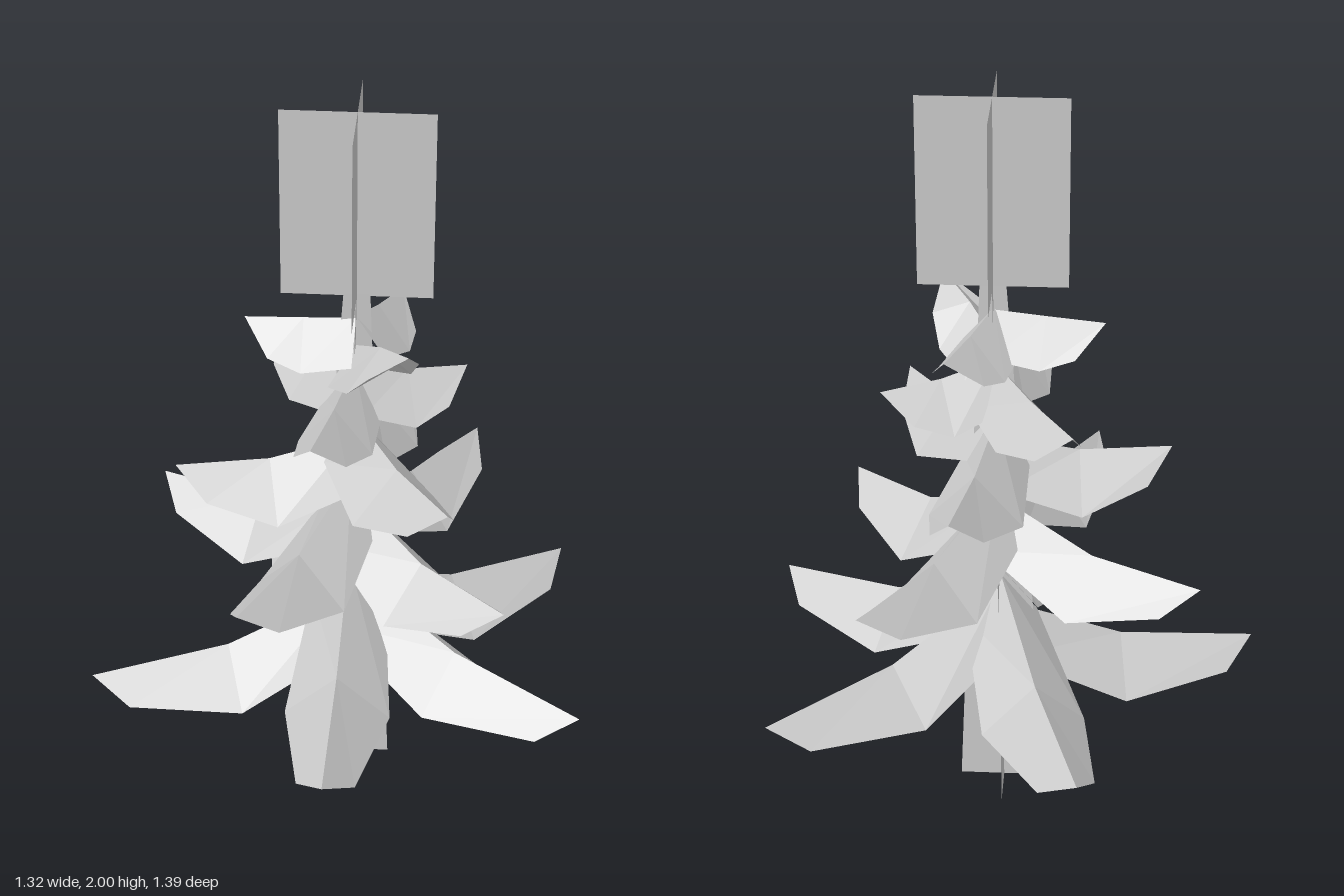
import * as THREE from 'three';

const material = new THREE.MeshStandardMaterial({
  color: 0xcccccc, flatShading: true, side: THREE.DoubleSide,
});

// Height levels from bottom to top. rise: ridge height over the tip at [trunk, middle];
// width: half widths at [trunk, middle, end]; drop: how far the edges hang below the ridge.
const levels = [
  { rise: [0.2, 0.055], width: [0.1, 0.14, 0.076], drop: [0.12, 0.135, 0.065], back: 0.09,
    tips: [[-0.66, 0.37, 0.15], [0.66, 0.44, 0.33], [0.01, 0.47, 0.69], [-0.2, 0.45, -0.7], [0.615, 0.43, -0.46]] },
  { rise: [0.12, 0.015], width: [0.09, 0.13, 0.075], drop: [0.12, 0.14, 0.07], back: 0.08,
    tips: [[-0.5, 0.77, -0.27], [0.36, 0.8, -0.51], [0.45, 0.77, 0.33], [-0.22, 0.83, 0.47]] },
  { rise: [0.06, 0.005], width: [0.09, 0.125, 0.07], drop: [0.12, 0.135, 0.08], back: 0.075,
    tips: [[-0.42, 1.01, 0.06], [0.3, 1.08, 0.35], [0.13, 1.06, -0.475]] },
  { rise: [0.05, 0.015], width: [0.08, 0.1, 0.07], drop: [0.11, 0.12, 0.075], back: 0.07,
    tips: [[0.33, 1.24, -0.12], [-0.045, 1.235, 0.315], [-0.17, 1.23, -0.325]] },
  { rise: [0.02, 0.01], width: [0.085, 0.095, 0.075], drop: [0.1, 0.11, 0.075], back: 0.07,
    tips: [[-0.24, 1.41, -0.035], [0.19, 1.44, 0.195, -0.09], [0.155, 1.39, -0.25, 0.045]] },
];

// The trunk leans slightly from its foot to its top
const trunkCentre = (y) => {
  const t = Math.min(y / 1.5, 1);
  return new THREE.Vector3(0.02 + 0.028 * t, y, -0.035 + 0.023 * t);
};

// Folded sheet: left edge, ridge and right edge at three stations
function branchGeometry(tip, level) {
  const [x, y, z, ownRise] = tip;
  const origin = trunkCentre(y);
  const out = new THREE.Vector3(x - origin.x, 0, z - origin.z);
  const length = out.length();
  out.normalize();
  const side = new THREE.Vector3(out.z, 0, -out.x);
  const baseRise = ownRise ?? level.rise[0];
  const midRise = ownRise === undefined ? level.rise[1] : ownRise * 0.4;
  const ridgeAt = [0, length * 0.47, length];
  const edgeAt = [0, length * 0.45, length - level.back];
  const heights = [y + baseRise, y + midRise, y];

  const positions = [];
  for (let i = 0; i < 3; i++) {
    for (const s of [-1, 0, 1]) {
      const p = origin.clone()
        .addScaledVector(out, s ? edgeAt[i] : ridgeAt[i])
        .addScaledVector(side, s * level.width[i]);
      p.y = heights[i] - Math.abs(s) * level.drop[i];
      positions.push(p.x, p.y, p.z);
    }
  }
  const index = [];
  for (let i = 0; i < 2; i++) {
    for (let j = 0; j < 2; j++) {
      const a = i * 3 + j;
      index.push(a, a + 1, a + 4, a, a + 4, a + 3);
    }
  }
  const geometry = new THREE.BufferGeometry();
  geometry.setAttribute('position', new THREE.Float32BufferAttribute(positions, 3));
  geometry.setIndex(index);
  const flat = geometry.toNonIndexed();
  flat.computeVertexNormals();
  return flat;
}

// Two upright crossed sheets whose width and centre change from bottom to top
function crossedSheets(name, y0, y1, width0, width1) {
  const group = new THREE.Group();
  group.name = name;
  for (const alongZ of [false, true]) {
    const geometry = new THREE.PlaneGeometry(1, 1);
    const pos = geometry.attributes.position;
    for (let i = 0; i < pos.count; i++) {
      const top = pos.getY(i) > 0;
      const offset = pos.getX(i) * (top ? width1 : width0);
      const c = trunkCentre(top ? y1 : y0);
      pos.setXYZ(i, c.x + (alongZ ? 0 : offset), c.y, c.z - (alongZ ? offset : 0));
    }
    geometry.computeVertexNormals();
    const mesh = new THREE.Mesh(geometry, material);
    mesh.name = alongZ ? name + 'SideSheet' : name + 'FrontSheet';
    group.add(mesh);
  }
  return group;
}

export function createModel() {
  const tree = new THREE.Group();
  tree.name = 'tree';

  // Tapered trunk and the square treetop above it
  tree.add(crossedSheets('trunk', 0, 1.5, 0.24, 0.068));
  tree.add(crossedSheets('treetop', 1.495, 2, 0.385, 0.385));

  // Whorls of drooping branches
  levels.forEach((level, n) => {
    const whorl = new THREE.Group();
    whorl.name = `branchWhorl${n + 1}`;
    for (const tip of level.tips) {
      const branch = new THREE.Mesh(branchGeometry(tip, level), material);
      branch.name = 'branch';
      whorl.add(branch);
    }
    tree.add(whorl);
  });
  return tree;
}
